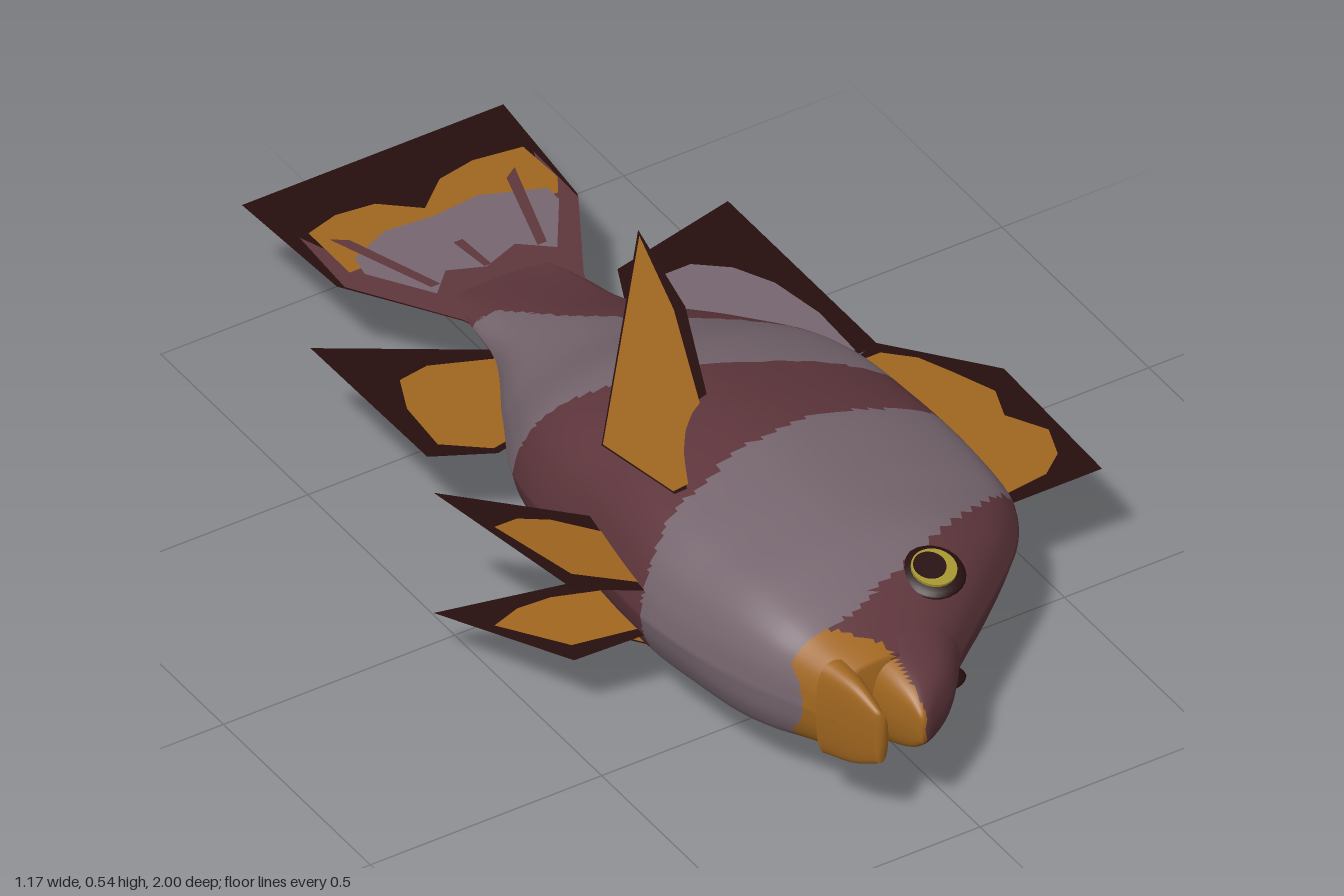
import * as THREE from 'three';

const MID = 0.277; // height of the fish's plane of symmetry (it lies on its side)
const mat = (name, color, side = THREE.DoubleSide) => {
  const m = new THREE.MeshStandardMaterial({ color, side });
  m.name = name;
  return m;
};
const maroon = mat('maroon', 0x5e363c);
const pale = mat('paleGrey', 0x77666f);
const orange = mat('orange', 0xa0661f);
const dark = mat('darkEdge', 0x260e0e);
const yellow = mat('yellow', 0xa3932f);

// Half cross-section outlines: position from belly to back, relative half thickness
const curve = (pts) => new THREE.SplineCurve(pts.map(([a, b]) => new THREE.Vector2(a, b)));
const bodyProfile = curve([[0, 0], [0.02, 0.3], [0.07, 0.63], [0.175, 0.88], [0.42, 1], [0.69, 0.77], [0.92, 0.37], [1, 0]]);
const headProfile = curve([[0, 0], [0.02, 0.4], [0.08, 0.75], [0.2, 0.95], [0.45, 1], [0.75, 0.86], [0.93, 0.5], [1, 0]]);

// Piecewise linear lookup, used for the stripe borders z(x)
function lookup(table, x) {
  for (let i = 1; i < table.length; i++) {
    const [x0, z0] = table[i - 1], [x1, z1] = table[i];
    if (x <= x1 || i === table.length - 1) {
      return z0 + (z1 - z0) * THREE.MathUtils.clamp((x - x0) / (x1 - x0), 0, 1);
    }
  }
}
const tailEdge = [[-0.2, -0.47], [-0.12, -0.45], [-0.06, -0.33], [0.05, -0.23], [0.22, -0.13], [0.4, 0]];
const bandRear = [[-0.35, -0.06], [-0.2, 0.0], [-0.06, 0.05], [0.05, 0.08], [0.16, 0.095], [0.4, 0.14]];
const bandFront = [[-0.37, 0.43], [-0.28, 0.385], [-0.1, 0.33], [0.08, 0.29], [0.4, 0.27]];
const headEdge = [[-0.25, 0.79], [-0.15, 0.78], [0.03, 0.71], [0.22, 0.61], [0.39, 0.5]];

// 0 maroon, 1 pale, 2 orange
function skin(x, z) {
  if (z > 0.78 && x > -0.27 && x < Math.min(-0.115, z - 0.975)) return 2;
  if (z < lookup(tailEdge, x)) return 0;
  if (z > lookup(bandRear, x) && z < lookup(bandFront, x)) return 0;
  if (z > lookup(headEdge, x) && x > -0.26) return 0;
  return 1;
}

// Smooth loft through stations [z, bellyX, backX, half thickness]
function loft(name, stations, rings, half) {
  const spline = new THREE.CubicInterpolant(
    new Float32Array(stations.map((s) => s[0])),
    new Float32Array(stations.flatMap((s) => s.slice(1))), 3, new Float32Array(3));
  const z0 = stations[0][0], z1 = stations[stations.length - 1][0];
  const n = half * 2, pos = [];
  for (let i = 0; i <= rings + 1; i++) {
    const z = z0 + (z1 - z0) * Math.min(i / rings, 1);
    const [a, b, h] = spline.evaluate(z);
    const w = THREE.MathUtils.smoothstep(z, 0.5, 0.75);
    const k = i > rings ? 0 : 1; // last ring closes the front end
    for (let j = 0; j < n; j++) {
      const t = (j <= half ? j : n - j) / half;
      const p = bodyProfile.getPoint(t).lerp(headProfile.getPoint(t), w);
      const u = 0.5 + (p.x - 0.5) * k;
      pos.push(a + (b - a) * u, MID + (j <= half ? 1 : -1) * h * p.y * k, z);
    }
  }
  const faces = [[], [], []];
  const tri = (...v) => {
    const x = v.reduce((s, q) => s + pos[q * 3], 0) / 3;
    const z = v.reduce((s, q) => s + pos[q * 3 + 2], 0) / 3;
    faces[skin(x, z)].push(...v);
  };
  for (let i = 0; i <= rings; i++) {
    for (let j = 0; j < n; j++) {
      const k = (j + 1) % n, a = i * n + j, b = i * n + k;
      tri(a, a + n, b + n);
      tri(a, b + n, b);
    }
  }
  const g = new THREE.BufferGeometry();
  g.setAttribute('position', new THREE.Float32BufferAttribute(pos, 3));
  g.setIndex(faces.flat());
  let start = 0;
  faces.forEach((f, m) => { g.addGroup(start, f.length, m); start += f.length; });
  g.computeVertexNormals();
  const mesh = new THREE.Mesh(g, [maroon, pale, orange]);
  mesh.name = name;
  return mesh;
}

// Flat sheet from an outline in x and z, with height y given by a plane
function sheet(name, outline, material, height, lift = 0) {
  const g = new THREE.ShapeGeometry(new THREE.Shape(outline.map(([x, z]) => new THREE.Vector2(x, -z))));
  const p = g.attributes.position;
  for (let i = 0; i < p.count; i++) {
    const x = p.getX(i), z = -p.getY(i);
    p.setXYZ(i, x, height(x, z) + lift, z);
  }
  g.computeVertexNormals();
  const m = new THREE.Mesh(g, material);
  m.name = name;
  return m;
}

// Fin: dark sheet with painted patches on both faces
function fin(name, outline, patches, height = () => MID) {
  const g = new THREE.Group();
  g.name = name;
  g.add(sheet(name + 'Web', outline, dark, height));
  patches.forEach(([material, pts], i) => {
    for (const s of [1, -1]) g.add(sheet(name + 'Patch', pts, material, height, s * 0.0015 * (i + 1)));
  });
  return g;
}

function disc(name, r, y, x, z, material) {
  const m = new THREE.Mesh(new THREE.CylinderGeometry(r, r, 0.009, 24), material);
  m.name = name;
  m.position.set(x, y, z);
  return m;
}

// Eye on the upper (s = 1) or lower (s = -1) flank
function eye(s) {
  const g = new THREE.Group();
  g.name = s > 0 ? 'upperEye' : 'lowerEye';
  const socket = new THREE.Mesh(new THREE.SphereGeometry(0.062, 24, 12), dark);
  socket.name = 'eyeSocket';
  socket.scale.y = 0.25;
  g.add(socket,
    disc('iris', 0.043, 0.0125, 0, 0, yellow),
    disc('pupil', 0.031, 0.0145, -0.006, -0.006 * s, dark));
  g.position.set(0.06, MID + s * 0.124, 0.745);
  g.rotation.x = s > 0 ? 0.28 : Math.PI - 0.28;
  return g;
}

export function createModel() {
  const fish = new THREE.Group();
  fish.name = 'fish';

  // Body and open mouth
  fish.add(
    loft('body', [
      [-0.57, -0.15, 0.06, 0], [-0.48, -0.165, 0.085, 0.025], [-0.36, -0.185, 0.125, 0.06],
      [-0.2, -0.27, 0.265, 0.108], [-0.04, -0.345, 0.365, 0.173], [0.2, -0.36, 0.4, 0.203],
      [0.42, -0.375, 0.4, 0.193], [0.52, -0.365, 0.38, 0.186], [0.63, -0.343, 0.315, 0.172],
      [0.72, -0.315, 0.215, 0.147], [0.79, -0.285, 0.127, 0.125], [0.85, -0.26, 0.055, 0.108],
      [0.89, -0.245, 0.022, 0.095]], 150, 40),
    loft('upperJaw', [[0.85, -0.175, 0.054, 0.105], [0.94, -0.15, -0.02, 0.076], [0.975, -0.137, -0.07, 0.055], [1, -0.128, -0.108, 0.028]], 16, 20),
    loft('lowerJaw', [[0.85, -0.26, -0.165, 0.105], [0.92, -0.233, -0.178, 0.088], [0.98, -0.21, -0.185, 0.055]], 14, 20));

  // Tail fin with orange scallops, pale centre and dark streaks
  fish.add(fin('tailFin',
    [[-0.16, -0.46], [-0.17, -0.49], [-0.31, -0.7], [-0.325, -1], [0.24, -1], [0.21, -0.7], [0.09, -0.49], [0.08, -0.46]], [
      [maroon, [[-0.16, -0.46], [-0.17, -0.49], [-0.3, -0.69], [-0.29, -0.86], [-0.26, -0.78], [0.18, -0.78], [0.21, -0.85], [0.205, -0.69], [0.09, -0.49], [0.08, -0.46]]],
      [orange, [[-0.27, -0.72], [-0.27, -0.86], [-0.2, -0.88], [-0.12, -0.87], [-0.05, -0.81], [0.02, -0.87], [0.1, -0.885], [0.2, -0.87], [0.205, -0.76], [0.18, -0.72]]],
      [pale, [[-0.17, -0.58], [-0.25, -0.7], [-0.24, -0.75], [-0.15, -0.79], [-0.05, -0.78], [0.05, -0.79], [0.17, -0.74], [0.17, -0.7], [0.09, -0.58], [0.03, -0.63], [-0.05, -0.6], [-0.12, -0.63]]],
      [maroon, [[-0.17, -0.6], [-0.25, -0.82], [-0.22, -0.8], [-0.15, -0.6]]],
      [maroon, [[-0.055, -0.6], [-0.065, -0.69], [-0.045, -0.69], [-0.04, -0.6]]],
      [maroon, [[0.06, -0.6], [0.12, -0.8], [0.15, -0.82], [0.08, -0.6]]]]));

  // Dorsal and anal fins in the symmetry plane
  fish.add(
    fin('frontDorsalFin', [[0.34, 0], [0.43, -0.03], [0.585, 0.16], [0.575, 0.51], [0.36, 0.51]],
      [[orange, [[0.35, 0], [0.42, 0], [0.47, 0.05], [0.5, 0.12], [0.535, 0.21], [0.51, 0.28], [0.555, 0.36], [0.53, 0.43], [0.48, 0.47], [0.36, 0.485]]]]),
    fin('rearDorsalFin', [[0.1, -0.36], [0.15, -0.47], [0.43, -0.535], [0.43, -0.02], [0.34, -0.02]],
      [[pale, [[0.11, -0.36], [0.16, -0.41], [0.27, -0.41], [0.33, -0.36], [0.37, -0.28], [0.39, -0.16], [0.385, -0.03], [0.34, -0.03]]]]),
    fin('analFin', [[-0.45, -0.57], [-0.16, -0.38], [-0.2, -0.15], [-0.33, -0.12], [-0.445, -0.18]],
      [[orange, [[-0.365, -0.4], [-0.3, -0.41], [-0.18, -0.36], [-0.2, -0.16], [-0.33, -0.135], [-0.41, -0.2], [-0.4, -0.32]]]]));

  // Paired fins and eyes on both flanks
  for (const s of [1, -1]) {
    const side = s > 0 ? 'upper' : 'lower';
    fish.add(
      fin(side + 'PectoralFin', [[0.055, -0.25], [-0.31, 0.2], [-0.25, 0.355], [-0.13, 0.34], [-0.04, 0.12], [0.03, -0.05]],
        [[orange, [[0.048, -0.235], [-0.307, 0.2], [-0.25, 0.35], [-0.14, 0.33], [-0.06, 0.12], [0.005, -0.05]]]],
        (x, z) => MID + s * (0.271 - 0.092 * (x - 0.055) - 0.197 * (z + 0.25))),
      fin(side + 'PelvicFin', [[-0.59, 0.07], [-0.49, 0.39], [-0.34, 0.435], [-0.32, 0.22]],
        [[orange, [[-0.535, 0.19], [-0.48, 0.18], [-0.42, 0.2], [-0.34, 0.26], [-0.35, 0.41], [-0.47, 0.35]]]],
        (x, z) => MID + s * (0.028 - 0.2 * x - 0.115 * z)),
      eye(s));
  }
  return fish;
}
